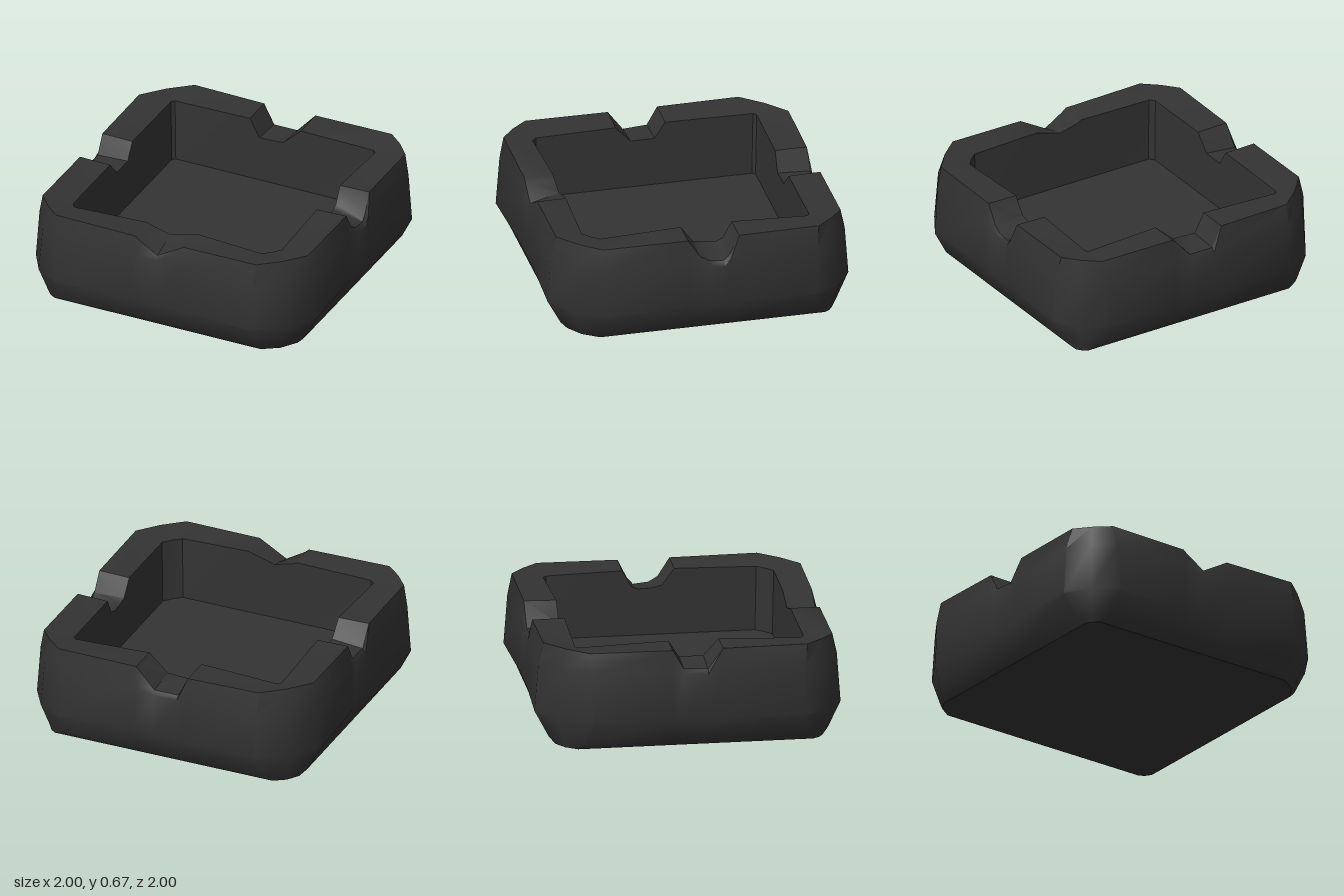
import * as THREE from 'three';
import { toCreasedNormals } from 'three/addons/utils/BufferGeometryUtils.js';

const TOP = 0.675;

// Notch in each wall (front, right, back, left): [along the wall, outer height, inner height]
const NOTCHES = [
  [[-0.18, 0.67, 0.67], [-0.15, 0.645, 0.655], [-0.02, 0.565, 0.62], [0.17, TOP, TOP]],
  [[-0.12, TOP, 0.67], [-0.04, 0.55, 0.56], [0.02, 0.515, 0.545], [0.12, 0.505, 0.54], [0.16, 0.55, 0.56], [0.22, TOP, 0.67]],
  [[-0.2, TOP, 0.67], [-0.07, 0.53, 0.55], [0.1, 0.53, 0.54], [0.17, 0.67, 0.67]],
  [[-0.13, TOP, 0.67], [-0.06, 0.55, 0.56], [0.1, 0.54, 0.56], [0.2, TOP, 0.67]],
];

// Square ring with cut corners; half = wall distances, cut = corner cuts (front right,
// back right, back left, front left), dip = waist of each wall, flat = 0.5 for a straight cut
function ring(half, cut, dip, flat, height) {
  const points = [];
  for (let k = 0; k < 4; k++) {
    const h = half[k], prev = half[(k + 3) % 4], next = half[(k + 1) % 4];
    const c0 = cut[(k + 3) % 4], c1 = cut[k];
    const add = (u, v, y) => {
      let x = u, z = v;
      for (let i = 0; i < k; i++) [x, z] = [z, -x];
      points.push([x, y, z]);
    };
    add(-prev + c0, h, height());
    for (const n of NOTCHES[k]) add(n[0], h - dip, height(n));
    add(next - c1, h, height());
    add(next - c1 * flat, h - c1 * flat, height());
  }
  return points;
}

// Skin a stack of rings, optionally closing the first or last one
function loft(rings, capStart, capEnd) {
  const n = rings[0].length;
  const position = rings.flat(2);
  const index = [];
  for (let r = 0; r < rings.length - 1; r++) {
    for (let i = 0; i < n; i++) {
      const j = (i + 1) % n, a = r * n, b = a + n;
      index.push(a + i, a + j, b + j, a + i, b + j, b + i);
    }
  }
  const cap = (r, flip) => {
    const centre = position.length / 3, a = r * n;
    position.push(0, rings[r][0][1], 0);
    for (let i = 0; i < n; i++) {
      const j = (i + 1) % n;
      if (flip) index.push(centre, a + j, a + i);
      else index.push(centre, a + i, a + j);
    }
  };
  if (capStart) cap(0, true);
  if (capEnd) cap(rings.length - 1, false);
  const geometry = new THREE.BufferGeometry();
  geometry.setAttribute('position', new THREE.Float32BufferAttribute(position, 3));
  geometry.setIndex(index);
  return toCreasedNormals(geometry, 0.7);
}

export function createModel() {
  const group = new THREE.Group();
  group.name = 'notchedTray';
  const charcoal = new THREE.MeshStandardMaterial({ color: 0x333333 });
  charcoal.name = 'charcoal';
  const all = (v) => [v, v, v, v];

  // Shared edges of the rim
  const outerRim = ring(all(0.942), [0.25, 0.19, 0.27, 0.19], 0, 0.46, (n) => (n ? n[1] : TOP + 0.004));
  const innerHalf = [0.76, 0.74, 0.74, 0.735];
  const innerCut = [0.1, 0.02, 0.02, 0.03];
  const innerRim = ring(innerHalf, innerCut, 0.01, 0.46, (n) => (n ? n[2] : 0.655));
  const floorEdge = ring(innerHalf.map((h) => h - 0.01), innerCut, 0, 0.46, () => 0.225);

  const add = (name, geometry) => {
    const mesh = new THREE.Mesh(geometry, charcoal);
    mesh.name = name;
    group.add(mesh);
  };

  // Outside wall, flaring up from a smaller base and bulging at the corners
  add('outerBody', loft([
    ring(all(0.87), [0.18, 0.06, 0.13, 0.07], 0, 0.4, () => 0.005),
    ring(all(0.91), [0.23, 0.14, 0.2, 0.14], 0, 0.4, () => 0.045),
    ring(all(0.998), [0.32, 0.26, 0.34, 0.26], 0.022, 0.38, () => 0.21),
    ring(all(0.974), [0.29, 0.24, 0.3, 0.24], 0.01, 0.4, (n) => (n ? Math.min(0.54, n[1] - 0.03) : 0.54)),
    outerRim,
  ], true, false));

  // Broad rim with the four notches
  add('rim', loft([outerRim, innerRim], false, false));

  // Recessed well with its flat floor
  add('well', loft([innerRim, floorEdge], false, false));
  add('wellFloor', loft([floorEdge], false, true));

  return group;
}
